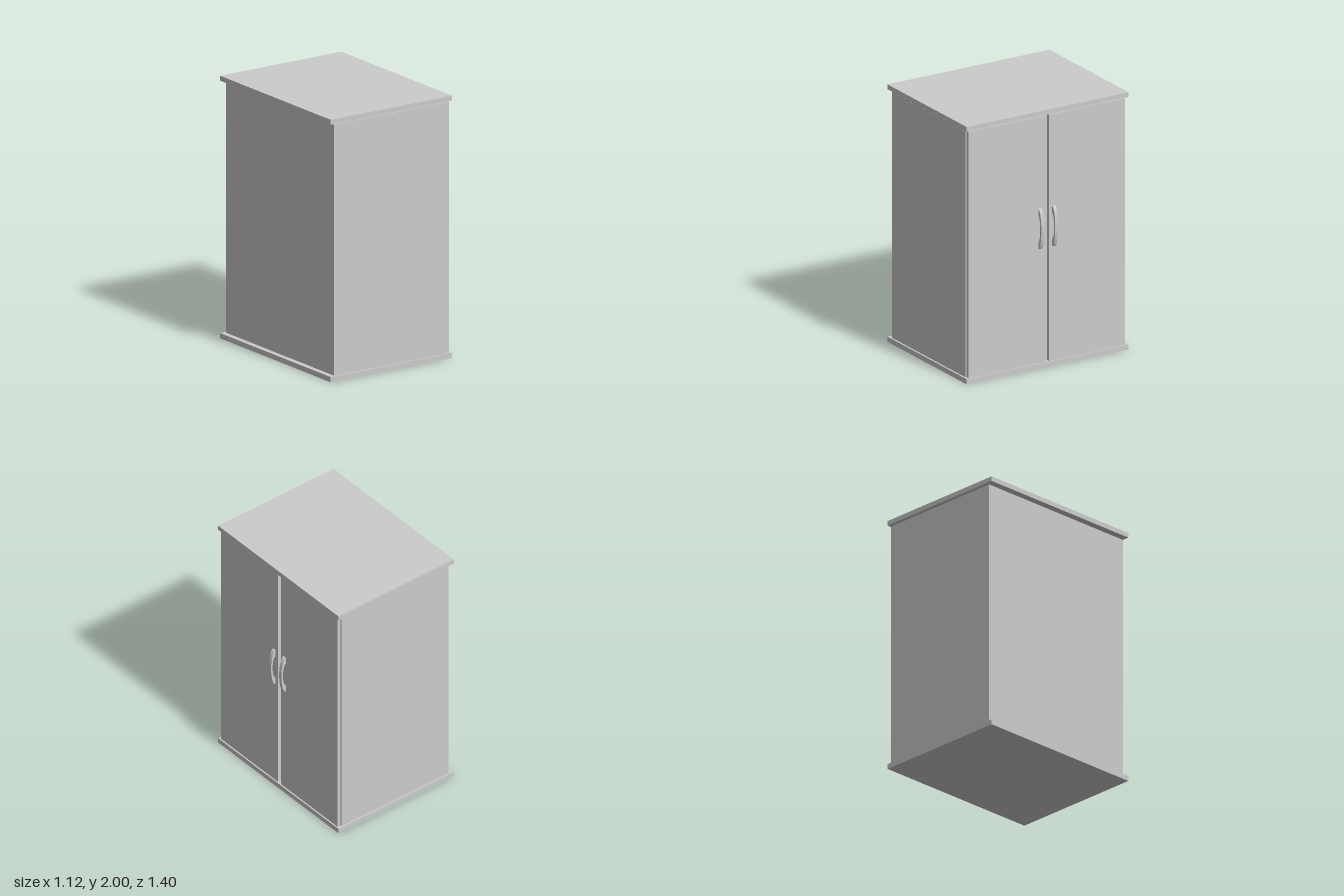
import * as THREE from 'three';

const material = new THREE.MeshStandardMaterial({ color: 0xcccccc, flatShading: true });

// Box given by its minimum and maximum corners
function box(name, [x0, y0, z0], [x1, y1, z1]) {
  const mesh = new THREE.Mesh(new THREE.BoxGeometry(x1 - x0, y1 - y0, z1 - z0), material);
  mesh.position.set((x0 + x1) / 2, (y0 + y1) / 2, (z0 + z1) / 2);
  mesh.name = name;
  return mesh;
}

// Bow handle: outer half ellipse with a half-elliptical finger opening
function handleGeometry(width) {
  const shape = new THREE.Shape();
  shape.moveTo(0, -0.156);
  shape.absellipse(0, 0, 0.041, 0.156, -Math.PI / 2, Math.PI / 2, false);
  shape.lineTo(0, 0.098);
  shape.absellipse(0, 0, 0.026, 0.098, Math.PI / 2, -Math.PI / 2, true);
  shape.closePath();
  return new THREE.ExtrudeGeometry(shape, { depth: width, bevelEnabled: false, curveSegments: 20 })
    .translate(0, 0, -width / 2);
}

export function createModel() {
  const group = new THREE.Group();
  group.name = 'cabinet';

  // Base and top overhang the carcass; a thin shadow gap sits under the top
  group.add(box('base', [-0.56, 0, -0.7], [0.525, 0.04, 0.7]));
  group.add(box('top', [-0.56, 1.963, -0.7], [0.525, 2, 0.7]));
  group.add(box('carcass', [-0.519, 0.04, -0.686], [0.487, 1.953, 0.686]));

  // Pair of doors on the +x side, each with a handle by the centre gap
  const handle = handleGeometry(0.026);
  for (const side of [-1, 1]) {
    const prefix = side > 0 ? 'left' : 'right';
    const z = [0.0185 * side, 0.677 * side].sort((a, b) => a - b);
    group.add(box(prefix + 'Door', [0.487, 0.04, z[0]], [0.514, 1.953, z[1]]));
    const mesh = new THREE.Mesh(handle, material);
    mesh.name = prefix + 'Handle';
    mesh.position.set(0.514, 1.083, 0.06 * side);
    group.add(mesh);
  }
  return group;
}
